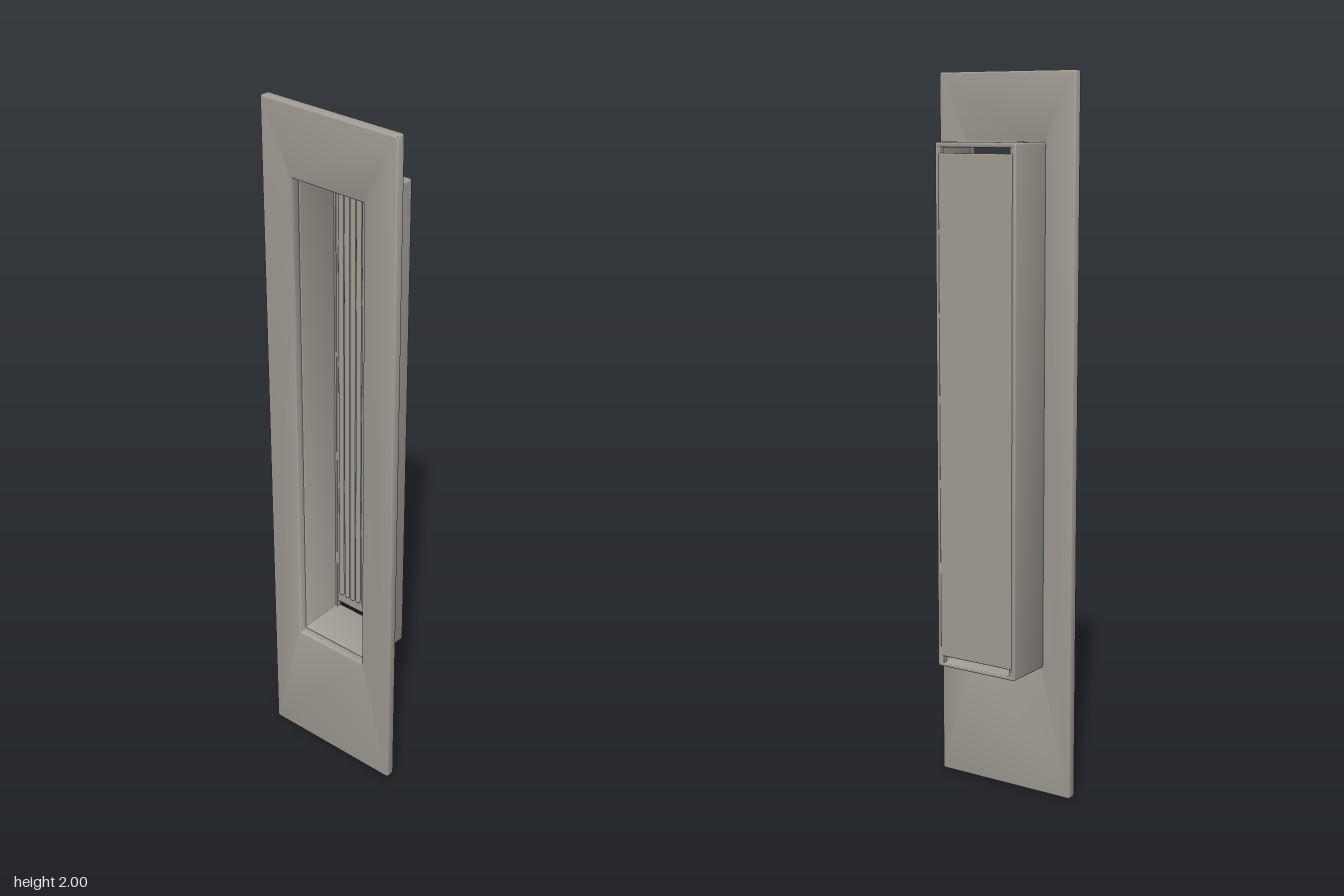
import * as THREE from 'three';
import { toCreasedNormals } from 'three/addons/utils/BufferGeometryUtils.js';
import { RoundedBoxGeometry } from 'three/addons/geometries/RoundedBoxGeometry.js';

// Rounded rectangle outline centred on x = 0, from y0 to y1
function outline(target, halfWidth, y0, y1, r) {
  target.moveTo(-halfWidth + r, y0);
  target.lineTo(halfWidth - r, y0);
  target.quadraticCurveTo(halfWidth, y0, halfWidth, y0 + r);
  target.lineTo(halfWidth, y1 - r);
  target.quadraticCurveTo(halfWidth, y1, halfWidth - r, y1);
  target.lineTo(-halfWidth + r, y1);
  target.quadraticCurveTo(-halfWidth, y1, -halfWidth, y1 - r);
  target.lineTo(-halfWidth, y0 + r);
  target.quadraticCurveTo(-halfWidth, y0, -halfWidth + r, y0);
  return target;
}

// Rectangular frame with softened edges, spanning z0 to z1
function frame(outer, inner, z0, z1, bevel) {
  const shape = outline(new THREE.Shape(), ...outer);
  shape.holes.push(outline(new THREE.Path(), ...inner));
  const geometry = new THREE.ExtrudeGeometry(shape, {
    depth: z1 - z0 - 2 * bevel, curveSegments: 5,
    bevelThickness: bevel, bevelSize: bevel, bevelOffset: -bevel, bevelSegments: 3,
  });
  geometry.translate(0, 0, z0 + bevel);
  return toCreasedNormals(geometry, 0.6);
}

export function createModel() {
  const model = new THREE.Group();
  model.name = 'recessedPull';
  const metal = new THREE.MeshStandardMaterial({ color: 0xa19d94 });
  metal.name = 'satin metal';

  const add = (name, geometry, x = 0, y = 0, z = 0, parent = model) => {
    const mesh = new THREE.Mesh(geometry, metal);
    mesh.name = name;
    mesh.position.set(x, y, z);
    parent.add(mesh);
    return mesh;
  };

  // Face plate with the finger opening
  add('facePlate', frame([0.217, 0, 2, 0.008], [0.116, 0.377, 1.804, 0.003], 0.059, 0.087, 0.005));

  // Walls of the recess
  add('recessWalls', frame([0.128, 0.37, 1.815, 0.007], [0.115, 0.381, 1.801, 0.003], -0.087, 0.06, 0.004));

  // Back panel, leaving a narrow slot at the top and bottom
  add('backPanel', new RoundedBoxGeometry(0.236, 1.386, 0.014, 2, 0.004), 0, 1.093, -0.081);

  // Side fillets closing the slot ends
  for (const side of [-1, 1]) {
    add('sideFillet', new THREE.BoxGeometry(0.01, 1.425, 0.014), side * 0.114, 1.091, -0.079);
  }

  // Vertical grip ribs
  const ribs = new THREE.Group();
  ribs.name = 'gripRibs';
  model.add(ribs);
  const ribCount = 10;
  const ribGeometry = new THREE.CapsuleGeometry(0.0085, 1.308, 4, 12);
  for (let i = 0; i < ribCount; i++) {
    add('gripRib', ribGeometry, (i - (ribCount - 1) / 2) * 0.0205, 1.093, -0.075, ribs);
  }
  return model;
}
